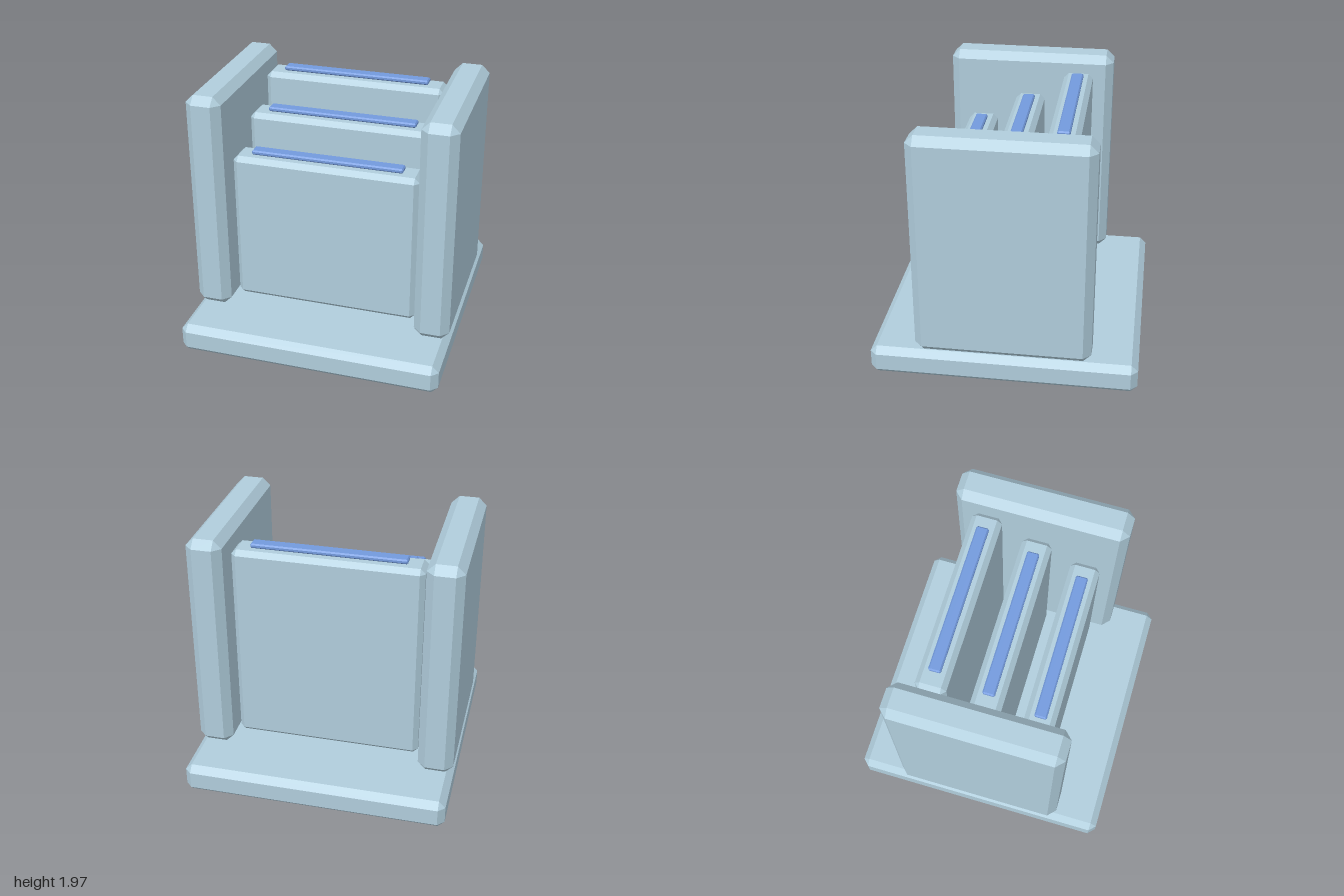
import * as THREE from 'three';
import { ConvexGeometry } from 'three/addons/geometries/ConvexGeometry.js';

// Box with every edge cut at 45 degrees and triangular corners
function chamferedBox(w, h, d, b) {
  const x = w / 2, y = h / 2, z = d / 2, points = [];
  for (const sx of [-1, 1]) for (const sy of [-1, 1]) for (const sz of [-1, 1]) {
    points.push(
      new THREE.Vector3(sx * x, sy * (y - b), sz * (z - b)),
      new THREE.Vector3(sx * (x - b), sy * y, sz * (z - b)),
      new THREE.Vector3(sx * (x - b), sy * (y - b), sz * z)
    );
  }
  return new ConvexGeometry(points);
}

export function createModel() {
  const group = new THREE.Group();
  const body = new THREE.MeshStandardMaterial({ color: 0xb0cddc });
  body.name = 'pale blue grey';
  const accent = new THREE.MeshStandardMaterial({ color: 0x739add });
  accent.name = 'blue';

  // Places a block by its bottom and top heights
  function block(name, material, w, bottom, top, d, b, x = 0, z = 0) {
    const mesh = new THREE.Mesh(chamferedBox(w, top - bottom, d, b), material);
    mesh.name = name;
    mesh.position.set(x, (bottom + top) / 2, z);
    group.add(mesh);
  }

  block('base', body, 2, 0, 0.23, 2, 0.05);

  // Side walls
  block('leftWall', body, 0.27, 0.23, 1.965, 1.31, 0.06, 0.865);
  block('rightWall', body, 0.27, 0.23, 1.965, 1.31, 0.06, -0.865);

  // Stepped upright dividers, each with a blue strip on top
  const names = ['front', 'middle', 'back'];
  names.forEach((name, i) => {
    const z = 0.385 * (1 - i);
    const top = 1.462 + 0.1925 * i;
    block(name + 'Divider', body, 1.416, 0.275, top, 0.23, 0.037, 0, z);
    block(name + 'Strip', accent, 1.15, top + 0.004, top + 0.039, 0.093, 0.01, 0, z);
  });

  return group;
}
